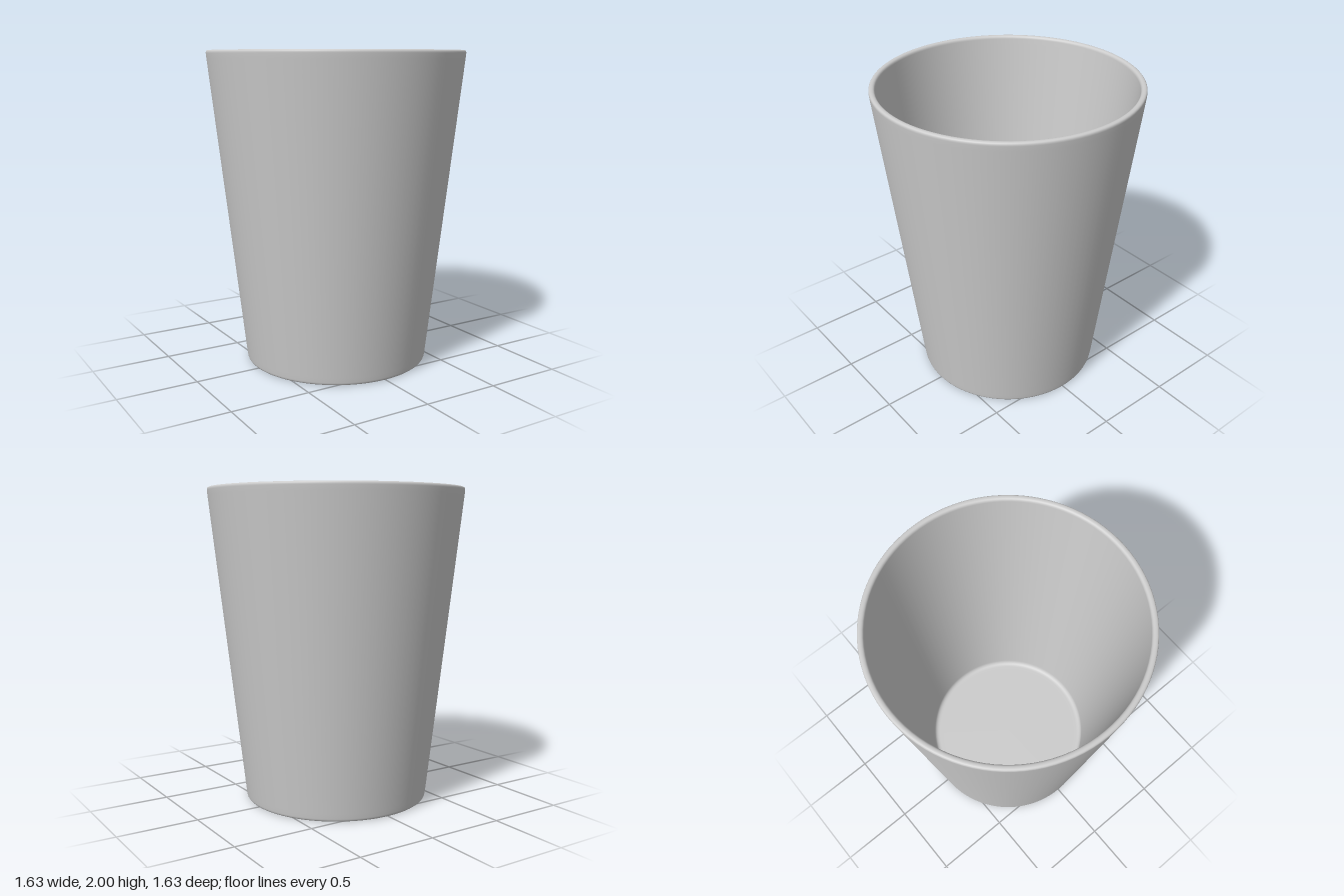
import * as THREE from 'three';

export function createModel() {
  const group = new THREE.Group();
  group.name = 'cup';

  // Half section: underside, outer wall, rounded rim, inner wall, floor
  const section = new THREE.Path();
  section.moveTo(0, 0);
  section.lineTo(0.55, 0);
  section.lineTo(0.575, 0);
  section.quadraticCurveTo(0.59, 0, 0.592, 0.02);
  section.lineTo(0.596, 0.05);
  section.lineTo(0.811, 1.95);
  section.lineTo(0.814, 1.98);
  section.quadraticCurveTo(0.816, 2, 0.797, 2);
  section.quadraticCurveTo(0.778, 2, 0.776, 1.98);
  section.lineTo(0.773, 1.95);
  section.lineTo(0.561, 0.1);
  section.lineTo(0.559, 0.08);
  section.quadraticCurveTo(0.555, 0.045, 0.52, 0.045);
  section.lineTo(0.49, 0.045);
  section.lineTo(0, 0.045);

  const body = new THREE.Mesh(
    new THREE.LatheGeometry(section.getPoints(6), 96),
    new THREE.MeshStandardMaterial({ color: 0xcccccc })
  );
  body.name = 'cupBody';
  group.add(body);
  return group;
}
